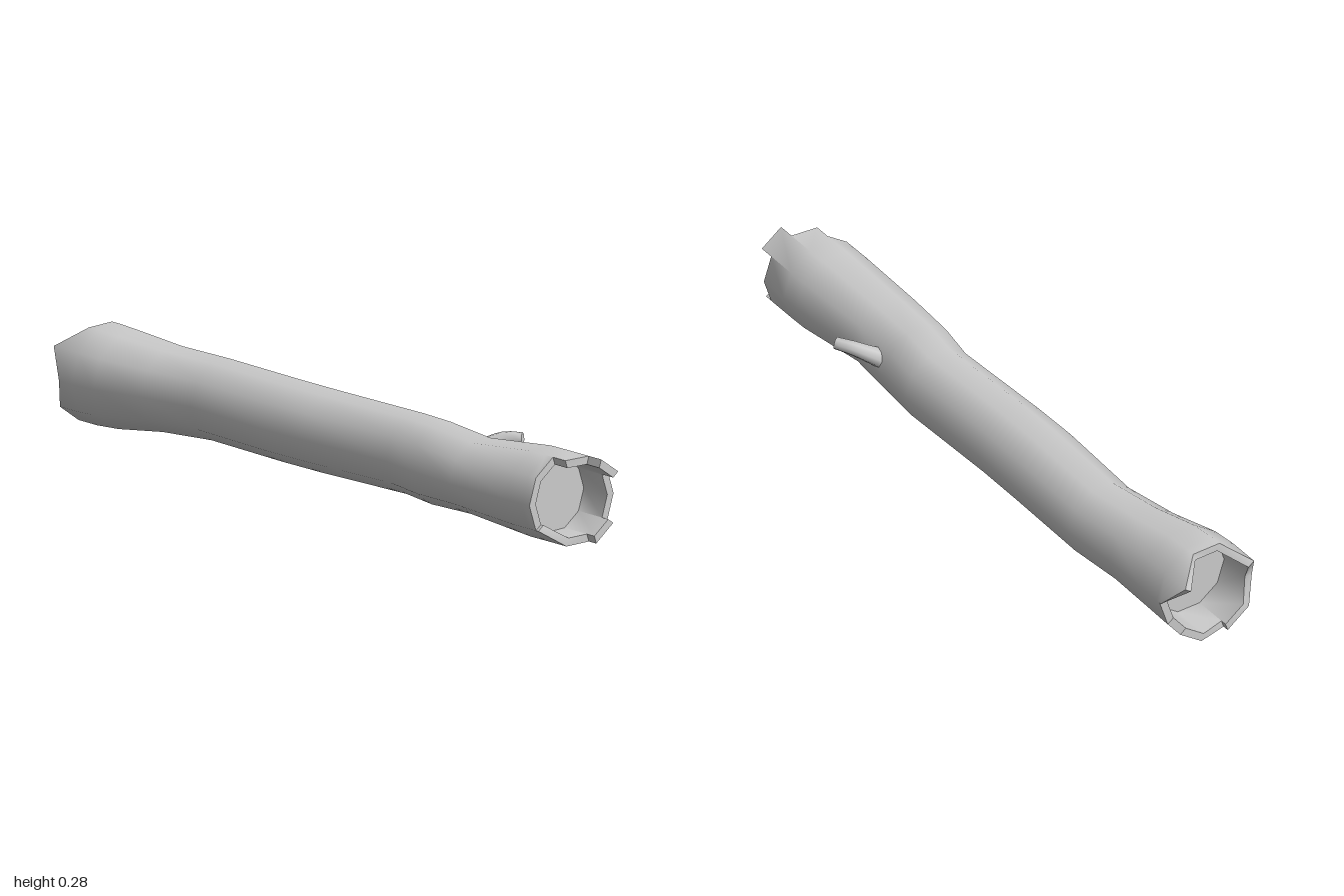
import * as THREE from 'three';
import { toCreasedNormals } from 'three/addons/utils/BufferGeometryUtils.js';

const SIDES = 10, CY = 0.139, WALL = 0.024;

// Trunk rings from back to front: z, centre x, radius across, radius up
const RINGS = [
  [-0.9, -0.045, 0.145, 0.145], [-0.82, -0.042, 0.142, 0.14], [-0.67, -0.02, 0.121, 0.123],
  [-0.5, 0.003, 0.114, 0.117], [-0.2, -0.006, 0.119, 0.117], [-0.05, -0.005, 0.117, 0.117],
  [0.28, 0.008, 0.114, 0.115], [0.4, -0.007, 0.119, 0.118], [0.57, -0.019, 0.121, 0.108],
  [0.8, -0.006, 0.131, 0.13], [0.86, -0.005, 0.131, 0.13],
];

// Broken rims: z at the start and end of each side, counter-clockwise from +x
const BACK_RIM = [
  [-0.92, -1], [-1, -0.935], [-0.935, -0.935], [-0.935, -1], [-1, -0.95],
  [-0.95, -0.975], [-0.975, -0.975], [-0.955, -0.975], [-0.975, -0.975], [-0.915, -0.915],
];
const FRONT_RIM = [
  [0.955, 0.955], [1, 1], [0.95, 0.94], [0.89, 0.89], [0.89, 0.89],
  [0.89, 0.89], [0.9, 0.945], [0.945, 0.95], [0.98, 0.98], [0.955, 0.955],
];

function pointOn([, cx, rx, ry], k, z, inset = 0) {
  const a = (k / SIDES) * Math.PI * 2;
  return [cx + Math.cos(a) * (rx - inset), CY + Math.sin(a) * (ry - inset), z];
}

function trunkGeometry() {
  const pos = [];
  const quad = (a, b, c, d, flip = false) => {
    if (flip) [b, d] = [d, b];
    pos.push(...a, ...b, ...c, ...a, ...c, ...d);
  };
  const first = RINGS[0], last = RINGS[RINGS.length - 1];

  // Bark, running out to the broken edge at both ends
  for (let k = 0; k < SIDES; k++) {
    for (let i = 0; i < RINGS.length - 1; i++) {
      const p = RINGS[i], q = RINGS[i + 1];
      quad(pointOn(p, k, p[0]), pointOn(p, k + 1, p[0]), pointOn(q, k + 1, q[0]), pointOn(q, k, q[0]));
    }
    const [b0, b1] = BACK_RIM[k], [f0, f1] = FRONT_RIM[k];
    quad(pointOn(first, k, b0), pointOn(first, k + 1, b1), pointOn(first, k + 1, first[0]), pointOn(first, k, first[0]));
    quad(pointOn(last, k, last[0]), pointOn(last, k + 1, last[0]), pointOn(last, k + 1, f1), pointOn(last, k, f0));
  }

  // Hollow ends: rim, inner wall, steps between teeth and recessed floor
  for (const [ring, rim, floor, flip] of [[first, BACK_RIM, -0.85, true], [last, FRONT_RIM, 0.86, false]]) {
    for (let k = 0; k < SIDES; k++) {
      const [z0, z1] = rim[k];
      const before = rim[(k + SIDES - 1) % SIDES][1];
      const o = (j, z) => pointOn(ring, j, z), n = (j, z) => pointOn(ring, j, z, WALL);
      quad(o(k, z0), o(k + 1, z1), n(k + 1, z1), n(k, z0), flip);
      quad(n(k, z0), n(k + 1, z1), n(k + 1, floor), n(k, floor), flip);
      if (before !== z0) quad(n(k, z0), n(k, before), o(k, before), o(k, z0), flip);
      const tri = [n(k, floor), n(k + 1, floor)];
      if (flip) tri.reverse();
      pos.push(ring[1], CY, floor, ...tri[0], ...tri[1]);
    }
  }
  const geo = new THREE.BufferGeometry();
  geo.setAttribute('position', new THREE.Float32BufferAttribute(pos, 3));
  return toCreasedNormals(geo, 0.9);
}

// Tapering twig stub
function twig(material) {
  const SEG = 8, RAD = 8, BASE = 0.034, TIP = 0.018;
  const curve = new THREE.CatmullRomCurve3([
    new THREE.Vector3(0.08, 0.16, 0.445), new THREE.Vector3(0.115, 0.18, 0.463),
    new THREE.Vector3(0.148, 0.197, 0.49), new THREE.Vector3(0.178, 0.201, 0.535),
  ]);
  const geo = new THREE.TubeGeometry(curve, SEG, 1, RAD);
  const p = geo.attributes.position, v = new THREE.Vector3();
  for (let i = 0; i < p.count; i++) {
    const t = Math.floor(i / (RAD + 1)) / SEG, c = curve.getPointAt(t);
    v.fromBufferAttribute(p, i).sub(c).multiplyScalar(THREE.MathUtils.lerp(BASE, TIP, Math.sqrt(t))).add(c);
    p.setXYZ(i, v.x, v.y, v.z);
  }
  geo.computeVertexNormals();
  const stem = new THREE.Mesh(geo, material);
  stem.name = 'twigStem';

  // Cut face, sharing the last ring of the stem
  const capPos = [], end = curve.getPointAt(1), ringStart = SEG * (RAD + 1);
  for (let j = 0; j < RAD; j++) {
    capPos.push(...end.toArray());
    for (const i of [ringStart + j, ringStart + j + 1]) capPos.push(p.getX(i), p.getY(i), p.getZ(i));
  }
  const capGeo = new THREE.BufferGeometry();
  capGeo.setAttribute('position', new THREE.Float32BufferAttribute(capPos, 3));
  capGeo.computeVertexNormals();
  const capMaterial = material.clone();
  capMaterial.side = THREE.DoubleSide;
  const cap = new THREE.Mesh(capGeo, capMaterial);
  cap.name = 'twigCutFace';

  const group = new THREE.Group();
  group.name = 'twig';
  group.add(stem, cap);
  return group;
}

export function createModel() {
  const material = new THREE.MeshStandardMaterial({ color: 0xcccccc });
  const model = new THREE.Group();
  model.name = 'hollowLog';
  const trunk = new THREE.Mesh(trunkGeometry(), material);
  trunk.name = 'trunk';
  model.add(trunk, twig(material));
  return model;
}
